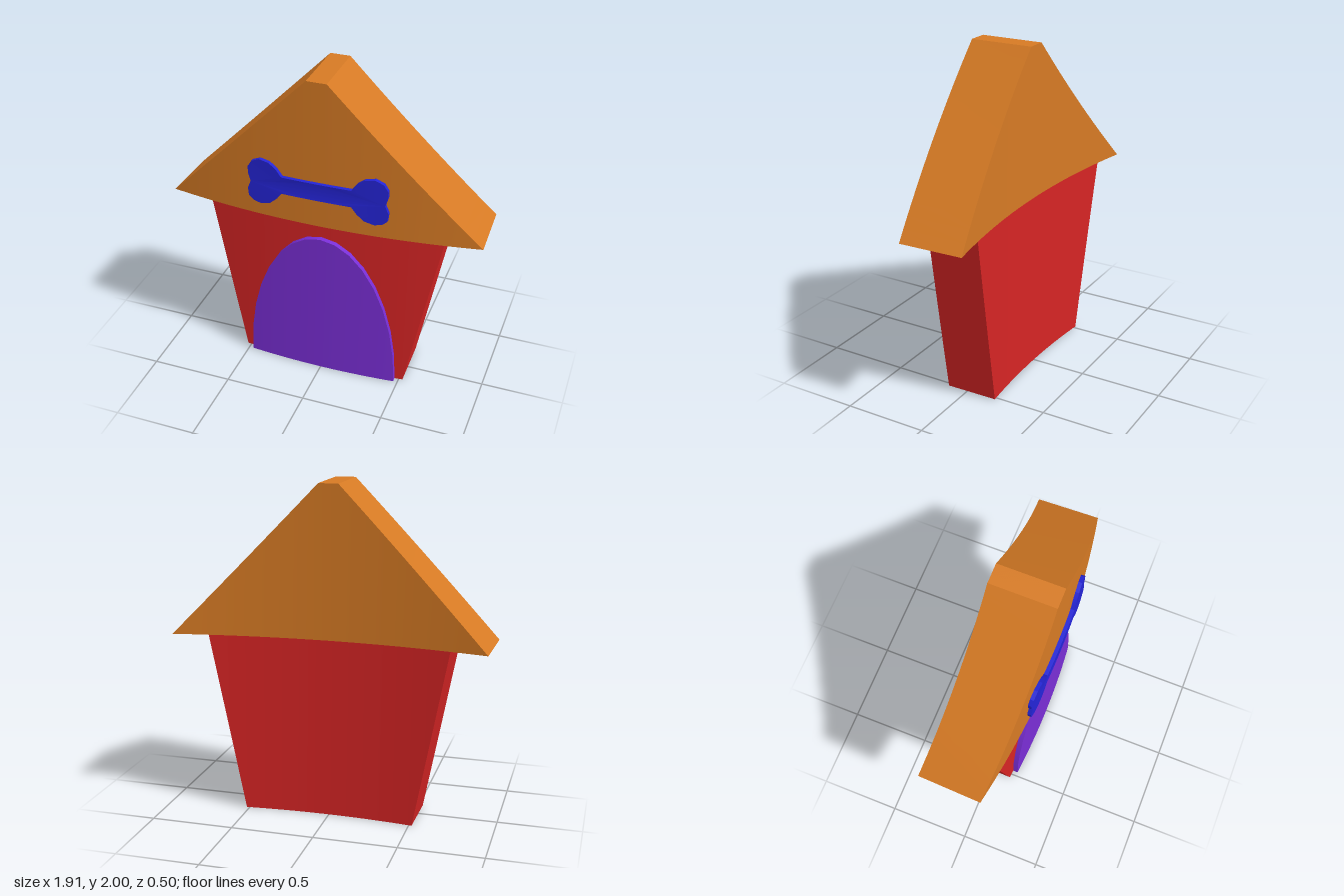
import * as THREE from 'three';
import { toCreasedNormals } from 'three/addons/utils/BufferGeometryUtils.js';

// Bow a geometry so its front bulges and its ends sweep back.
function bow(geometry) {
  const p = geometry.attributes.position;
  for (let i = 0; i < p.count; i++) {
    const x = p.getX(i), z = p.getZ(i);
    p.setX(i, x * (1 + 0.035 * (z - 0.225)));
    p.setZ(i, z - 0.1 * x * x);
  }
  return toCreasedNormals(geometry, 0.4);
}

// Thick panel sliced along x; each slice runs from low(x) to high(x).
function panel(xs, low, high, back, front) {
  const pos = [];
  const tri = (a, b, c) => {
    if (new THREE.Triangle(a, b, c).getArea() > 1e-7) for (const v of [a, b, c]) pos.push(v.x, v.y, v.z);
  };
  const quad = (a, b, c, d) => { tri(a, b, c); tri(a, c, d); };
  const V = (x, y, z) => new THREE.Vector3(x, y, z);
  const corners = (x) => [V(x, low(x), front), V(x, high(x), front), V(x, high(x), back), V(x, low(x), back)];
  for (let i = 0; i < xs.length - 1; i++) {
    const a = corners(xs[i]), b = corners(xs[i + 1]);
    for (let j = 0; j < 4; j++) {
      const k = (j + 1) % 4;
      quad(a[j], b[j], b[k], a[k]);
    }
  }
  quad(...corners(xs[0]).reverse());
  quad(...corners(xs[xs.length - 1]));
  const g = new THREE.BufferGeometry();
  g.setAttribute('position', new THREE.Float32BufferAttribute(pos, 3));
  return bow(g);
}

// Mirrored slice positions: evenly spaced between the given half-width breakpoints.
function slices(breaks, n) {
  const half = [];
  for (let i = 0; i < breaks.length - 1; i++)
    for (let j = 0; j < n; j++) half.push(THREE.MathUtils.lerp(breaks[i], breaks[i + 1], j / n));
  half.push(breaks[breaks.length - 1]);
  return [...half.slice(1).reverse().map((x) => -x), ...half];
}

export function createModel() {
  const group = new THREE.Group();
  const add = (name, geometry, color) => {
    const mesh = new THREE.Mesh(geometry, new THREE.MeshStandardMaterial({ color }));
    mesh.name = name;
    group.add(mesh);
  };
  const EAVE = 1.09;

  // Walls flare outward toward the eaves.
  add('walls', panel(slices([0, 0.525, 0.735], 12),
    (x) => EAVE * Math.max(0, (Math.abs(x) - 0.525) / 0.21), () => EAVE, -0.16, 0.156), 0xd62424);

  // Gable roof with a narrow flat ridge.
  add('roof', panel(slices([0, 0.06, 0.955], 16), () => EAVE,
    (x) => 2 - (2 - EAVE) * Math.max(0, (Math.abs(x) - 0.06) / 0.895), -0.16, 0.225), 0xd67a24);

  // Arched doorway, half an ellipse.
  const doorXs = Array.from({ length: 17 }, (_, i) => -0.475 * Math.cos((i * Math.PI) / 16));
  add('door', panel(doorXs, () => 0,
    (x) => 0.97 * Math.sqrt(Math.max(0, 1 - (x / 0.475) ** 2)), 0.13, 0.187), 0x7a2ed6);

  // Bone sign: one knobbed end, mirrored, joined by a straight bar.
  const knob = [
    [0.21, 1.275], [0.24, 1.235], [0.285, 1.195], [0.345, 1.18], [0.39, 1.19], [0.42, 1.215],
    [0.425, 1.265], [0.405, 1.315], [0.42, 1.365], [0.42, 1.41], [0.395, 1.45], [0.345, 1.472],
    [0.285, 1.46], [0.24, 1.425], [0.21, 1.383],
  ];
  const barXs = [0.14, 0.07, 0, -0.07, -0.14];
  const outline = [
    ...knob,
    ...barXs.map((x) => [x, 1.383]),
    ...knob.map(([x, y]) => [-x, y]).reverse(),
    ...barXs.map((x) => [-x, 1.275]),
  ].map(([x, y]) => new THREE.Vector2(x, y));
  const bone = new THREE.ExtrudeGeometry(new THREE.Shape(outline), { depth: 0.037, bevelEnabled: false });
  bone.translate(0, 0, 0.211);
  add('boneSign', bow(bone), 0x2424d6);

  return group;
}
